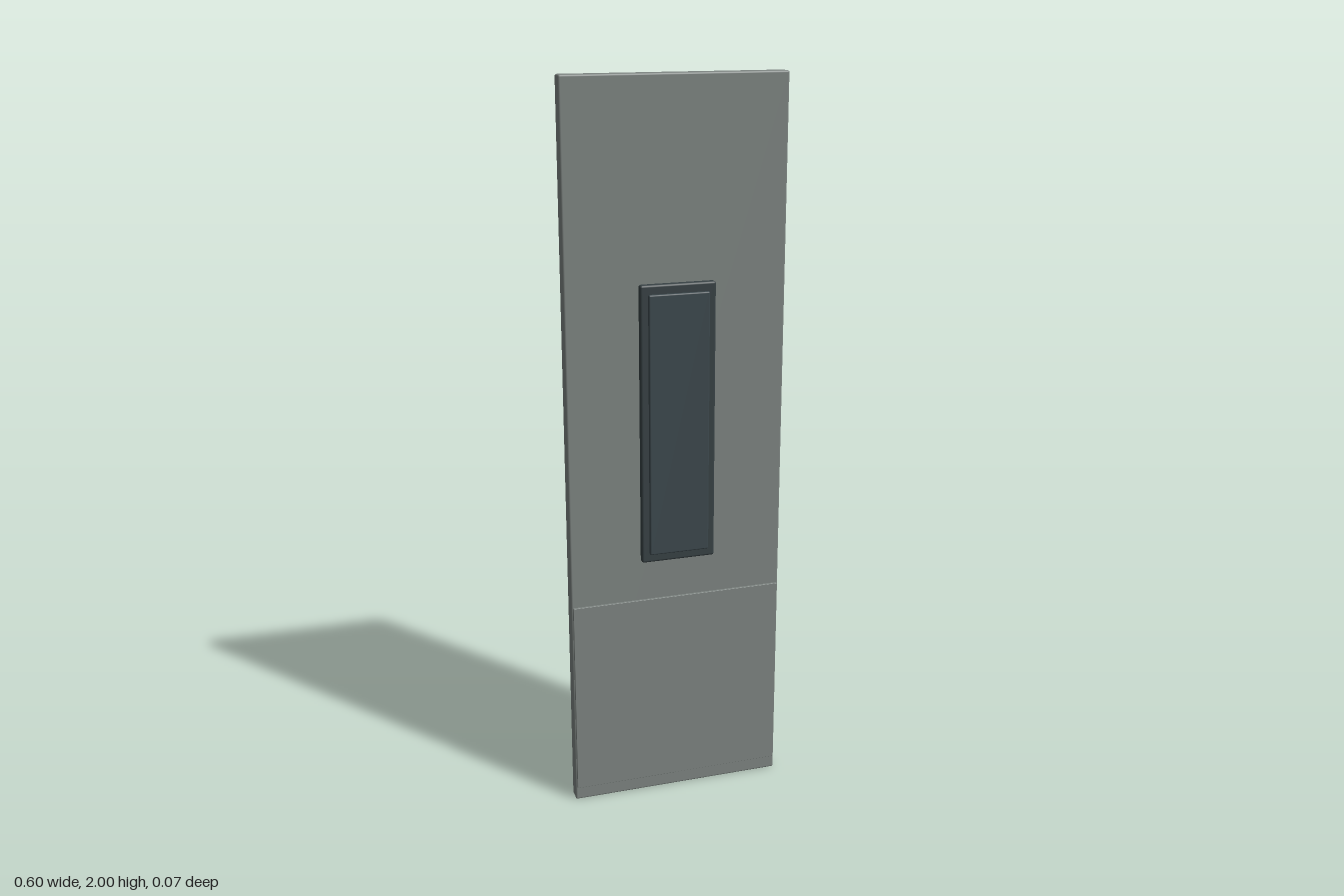
import * as THREE from 'three';
import { RoundedBoxGeometry } from 'three/addons/geometries/RoundedBoxGeometry.js';

export function createModel() {
  const model = new THREE.Group();
  model.name = 'door';

  const material = (name, color) => {
    const m = new THREE.MeshStandardMaterial({ color });
    m.name = name;
    return m;
  };
  const greyPaint = material('grey paint', 0x7e8582);
  const darkFrame = material('dark frame', 0x374144);
  const darkGlass = material('dark glass', 0x3c484d);

  // Softly rounded panel between y0..y1 and z0..z1, centred on x
  const panel = (name, mat, width, y0, y1, z0, z1, radius) => {
    const geometry = new RoundedBoxGeometry(width, y1 - y0, z1 - z0, 2, radius);
    const mesh = new THREE.Mesh(geometry, mat);
    mesh.name = name;
    mesh.position.set(0, (y0 + y1) / 2, (z0 + z1) / 2);
    model.add(mesh);
  };

  // Door leaf
  panel('doorLeaf', greyPaint, 0.6, 0, 2, -0.035, 0.006, 0.005);
  // Protective plate along the bottom of the front
  panel('kickPlate', greyPaint, 0.592, 0.04, 0.596, 0.0, 0.013, 0.001);
  // Tall narrow window: frame, then the raised pane
  panel('windowFrame', darkFrame, 0.206, 0.71, 1.476, 0.0, 0.022, 0.006);
  panel('windowPane', darkGlass, 0.166, 0.735, 1.452, 0.021, 0.033, 0.004);

  return model;
}
